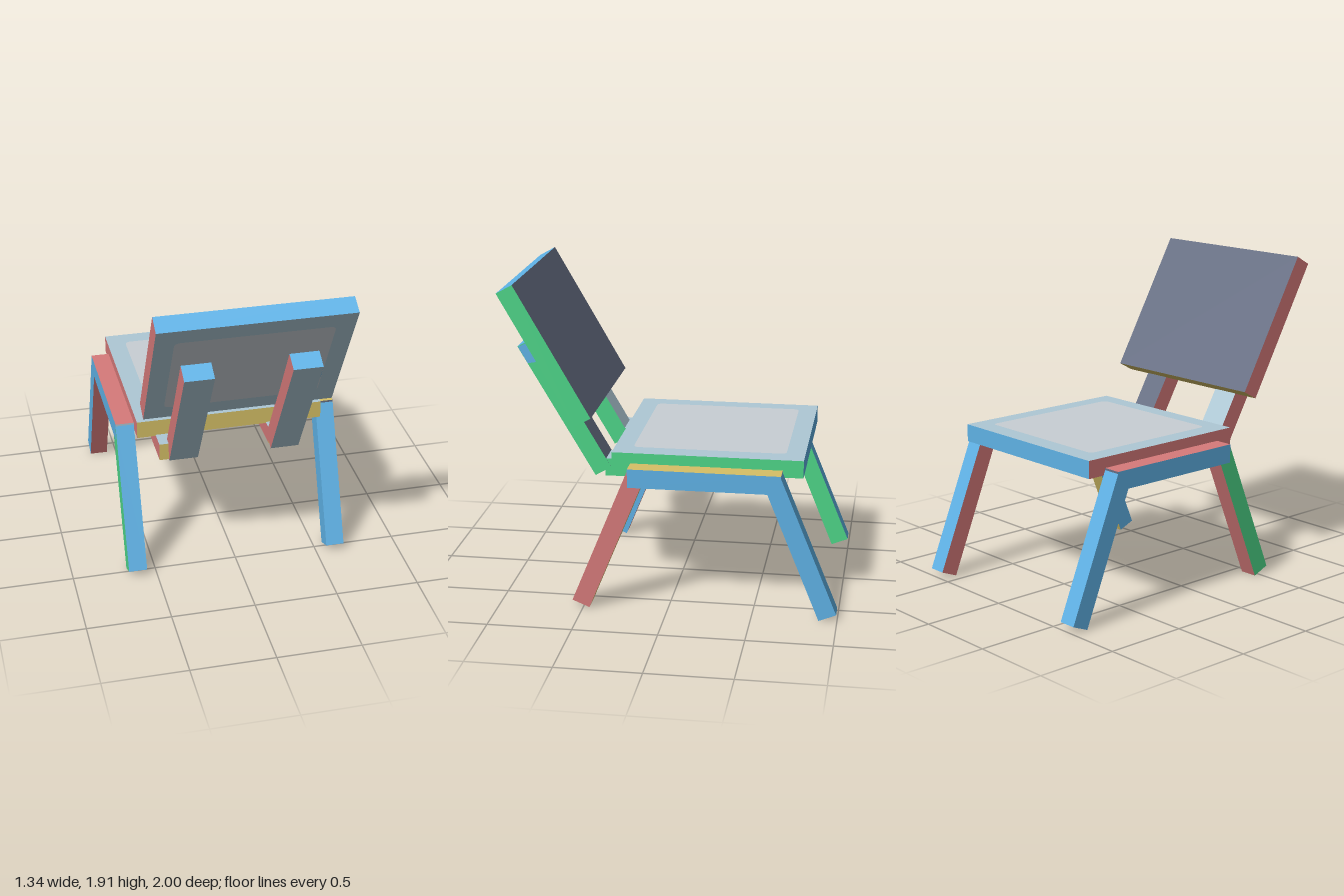
import * as THREE from 'three';

const mat = (name, color) => Object.assign(new THREE.MeshStandardMaterial({ color }), { name });
const blue = mat('blue', 0x5fb2e6);
const green = mat('green', 0x4dd588);
const red = mat('red', 0xd67a7a);
const yellow = mat('yellow', 0xd6c066);
const light = mat('paleBlueGrey', 0xaec8d5);
const slate = mat('slate', 0x666e83);
const pad = mat('padGrey', 0xc8cfd4);

// Side profile of [z, y] points drawn from x0 to x1.
// sides: one material per profile edge; right/left: the +x and -x caps.
function prism(name, pts, x0, x1, sides, left, right) {
  const contour = pts.map(([z, y]) => new THREE.Vector2(z, y));
  const ccw = THREE.ShapeUtils.area(contour) > 0;
  const pos = [];
  const mats = [];
  const geo = new THREE.BufferGeometry();
  const face = (material, corners) => {
    geo.addGroup(pos.length / 3, corners.length, mats.length);
    mats.push(material);
    corners.forEach(([x, [z, y]]) => pos.push(x, y, z));
  };
  pts.forEach((a, i) => {
    const b = pts[(i + 1) % pts.length];
    const q = ccw ? [[x0, a], [x1, a], [x1, b], [x0, b]] : [[x0, a], [x0, b], [x1, b], [x1, a]];
    face(sides[i], [q[0], q[1], q[2], q[0], q[2], q[3]]);
  });
  const tris = THREE.ShapeUtils.triangulateShape(contour, []);
  for (const [x, dir, material] of [[x1, 1, left], [x0, -1, right]]) {
    const corners = [];
    for (const t of tris) {
      const area = THREE.ShapeUtils.area(t.map((i) => contour[i]));
      const order = area * dir < 0 ? t : [t[0], t[2], t[1]];
      order.forEach((i) => corners.push([x, pts[i]]));
    }
    face(material, corners);
  }
  geo.setAttribute('position', new THREE.Float32BufferAttribute(pos, 3));
  geo.computeVertexNormals();
  const mesh = new THREE.Mesh(geo, mats);
  mesh.name = name;
  return mesh;
}

// Flat panel with rounded corners
function panel(name, w, h) {
  const r = 0.035, x = w / 2, y = h / 2;
  const s = new THREE.Shape();
  s.moveTo(-x + r, -y);
  s.lineTo(x - r, -y).quadraticCurveTo(x, -y, x, -y + r);
  s.lineTo(x, y - r).quadraticCurveTo(x, y, x - r, y);
  s.lineTo(-x + r, y).quadraticCurveTo(-x, y, -x, y - r);
  s.lineTo(-x, -y + r).quadraticCurveTo(-x, -y, -x + r, -y);
  const mesh = new THREE.Mesh(new THREE.ShapeGeometry(s, 6), pad);
  mesh.name = name;
  return mesh;
}

// Corners in order: front bottom, front top, back top, back bottom
const rect = (z0, z1, y0, y1) => [[z1, y0], [z1, y1], [z0, y1], [z0, y0]];

export function createModel() {
  const chair = new THREE.Group();
  chair.name = 'chair';

  // Seat: edges are front, top, back, bottom
  chair.add(prism('seat', rect(-0.78, 0.34, 0.835, 0.94), -0.56, 0.56,
    [yellow, light, blue, slate], green, red));
  const seatPanel = panel('seatPanel', 0.9, 0.9);
  seatPanel.rotation.x = -Math.PI / 2;
  seatPanel.position.set(0, 0.943, -0.22);
  chair.add(seatPanel);

  // Leaning backrest
  chair.add(prism('backrest', [[0.555, 1.085], [1.0, 1.86], [0.905, 1.913], [0.46, 1.138]], -0.56, 0.56,
    [light, blue, slate, yellow], green, red));
  const lean = Math.atan2(0.445, 0.775);
  const backPanel = panel('backrestPanel', 0.9, 0.67);
  backPanel.rotation.x = lean;
  backPanel.position.set(0, 1.4725 - 0.003 * Math.sin(lean), 0.7775 + 0.003 * Math.cos(lean));
  chair.add(backPanel);

  // Bars under the seat and the sloping bars that carry the backrest
  const slope = [[0.47, 0.735], [0.925, 1.508], [0.828, 1.562], [0.375, 0.79]];
  chair.add(
    prism('rightSeatBar', rect(-0.43, 0.455, 0.736, 0.842), -0.45, -0.225,
      [yellow, light, blue, slate], green, red),
    prism('leftSeatBar', rect(-0.43, 0.41, 0.736, 0.842), 0.222, 0.388,
      [yellow, light, blue, slate], green, red),
    prism('rightBackBar', slope, -0.395, -0.223, [light, blue, light, yellow], green, red),
    prism('leftBackBar', slope, 0.22, 0.39, [light, blue, slate, yellow], green, red),
  );

  // Blue end patches on the left bars
  const blues = Array(5).fill(blue);
  chair.add(
    prism('seatBarPatch', rect(-0.43, -0.3, 0.737, 0.842), 0.385, 0.392, blues, blue, blue),
    prism('backBarPatch', [[0.92, 1.505], [0.828, 1.558], [0.775, 1.46], [0.81, 1.42], [0.865, 1.41]],
      0.386, 0.393, blues, blue, blue),
  );

  // Side frames: a rail with two splayed legs
  const frontLeg = [[0.23, 0.865], [0.565, 0.045], [0.463, 0.003], [0.153, 0.765], [0.23, 0.765]];
  const rearLeg = frontLeg.map(([z, y]) => [-0.43 - z, y]);
  const frames = [
    { side: 'left', x: 0.56, inner: yellow, front: slate, back: light, foot: slate, rearFoot: slate,
      frontCaps: [red, blue], rearCaps: [blue, red] },
    { side: 'right', x: -0.67, inner: red, front: light, back: slate, foot: light, rearFoot: light,
      frontCaps: [blue, green], rearCaps: [green, blue] },
  ];
  for (const f of frames) {
    const frame = new THREE.Group();
    frame.name = f.side + 'Frame';
    const x1 = f.x + 0.11;
    frame.add(
      prism('rail', rect(-0.66, 0.23, 0.765, 0.877), f.x, x1, [f.front, f.inner, f.back, blue], ...f.rearCaps),
      prism('frontLeg', frontLeg, f.x, x1, [blue, f.foot, f.inner, blue, blue], ...f.frontCaps),
      prism('rearLeg', rearLeg, f.x, x1, [blue, f.rearFoot, f.inner, blue, blue], ...f.rearCaps),
    );
    chair.add(frame);
  }
  return chair;
}
